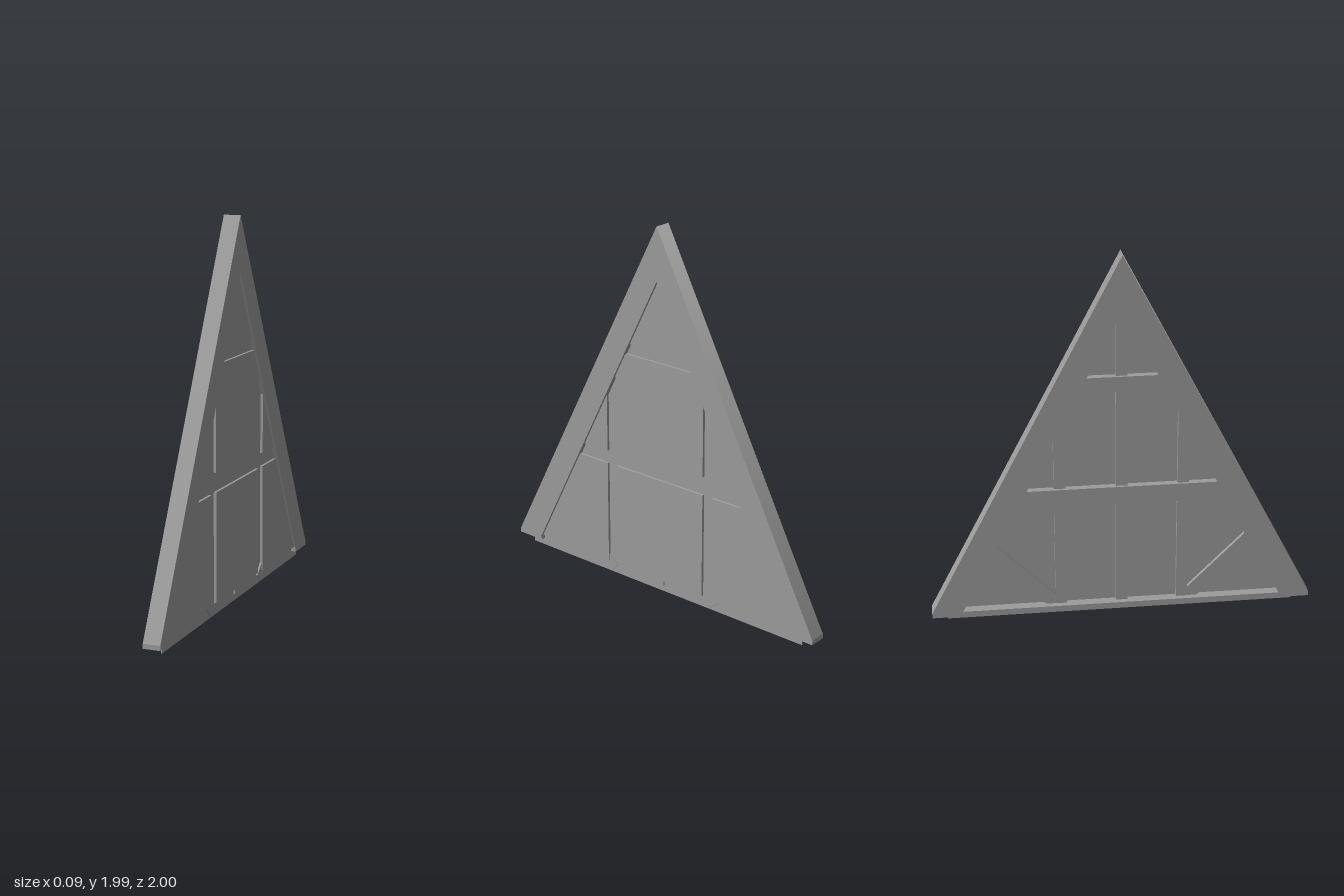
import * as THREE from 'three';

const RIDGE = 1.99, APEX = 1.71, BASE = 0.07, FOOT = 0.045, SLOPE = 0.84 / (APEX - BASE);
// half width of the opening at height y, and height of the opening at offset z
const halfWidth = (y) => (APEX - y) * SLOPE;
const heightAt = (z) => APEX - Math.abs(z) / SLOPE;

export function createModel() {
  const group = new THREE.Group();
  const material = new THREE.MeshStandardMaterial({ color: 0x9c9c9c });

  // flat part: outline in (z, y), extruded across x from x0 to x1
  function slab(name, points, x0, x1) {
    const shape = new THREE.Shape(points.map(([z, y]) => new THREE.Vector2(-z, y)));
    const geometry = new THREE.ExtrudeGeometry(shape, { depth: x1 - x0, bevelEnabled: false });
    geometry.rotateY(Math.PI / 2);
    geometry.translate(x0, 0, 0);
    const mesh = new THREE.Mesh(geometry, material);
    mesh.name = name;
    group.add(mesh);
    return mesh;
  }
  const mirrored = (name, points, x0, x1) => {
    for (const s of [1, -1]) slab(name, points.map(([z, y]) => [s * z, y]), x0, x1);
  };

  // two rafters meeting at the ridge
  const rafters = slab('rafters', [
    [0, RIDGE], [1, BASE], [1, FOOT], [0.84, FOOT], [0.84, BASE], [0, APEX],
    [-0.84, BASE], [-0.84, FOOT], [-1, FOOT], [-1, BASE],
  ], -0.045, 0.045);

  // the outer faces shade smoothly over the ridge
  const { position, normal } = rafters.geometry.attributes;
  for (let i = 0; i < position.count; i++) {
    if (position.getY(i) > RIDGE - 0.001 && Math.abs(normal.getX(i)) < 0.5) normal.setXYZ(i, 0, 1, 0);
  }

  // thin backing sheet, hanging below the sill
  slab('backingSheet', [
    [-0.92, 0.005], [0.92, 0.005], [0.92, BASE], [0, APEX + 0.1], [-0.92, BASE],
  ], 0.013, 0.018);

  // cladding panels, separated by open joints
  const P0 = 0.018, P1 = 0.032;
  slab('lowerMiddlePanel', [[-0.29, BASE], [0.29, BASE], [0.29, 0.64], [-0.29, 0.64]], P0, P1);
  slab('upperMiddlePanel', [
    [-0.29, 0.74], [0.29, 0.74], [0.29, heightAt(0.29)], [halfWidth(1.28), 1.28],
    [-halfWidth(1.28), 1.28], [-0.29, heightAt(0.29)],
  ], P0, P1);
  slab('topPanel', [[-halfWidth(1.34), 1.34], [halfWidth(1.34), 1.34], [0, APEX]], P0, P1);
  mirrored('lowerSidePanel', [
    [0.35, BASE], [0.84, BASE], [halfWidth(0.64), 0.64], [0.35, 0.64],
  ], P0, P1);
  mirrored('upperSidePanel', [
    [0.35, 0.71], [halfWidth(0.71), 0.71], [0.35, heightAt(0.35)],
  ], P0, P1);

  // sill between the rafter feet
  slab('sill', [[-0.84, FOOT], [0.84, FOOT], [0.84, BASE], [-0.84, BASE]], -0.04, 0.015);

  // upright studs, the middle one showing its foot under the panels
  slab('middleStud', [
    [-0.03, FOOT], [0.03, FOOT], [0.03, heightAt(0.03)], [0, APEX], [-0.03, heightAt(0.03)],
  ], -0.01, 0.015);
  slab('middleStudFoot', [[-0.03, 0.042], [0.03, 0.042], [0.03, BASE], [-0.03, BASE]], P0, 0.028);
  mirrored('sideStud', [
    [0.29, FOOT], [0.35, FOOT], [0.35, heightAt(0.35)], [0.29, heightAt(0.29)],
  ], -0.01, 0.015);

  // cross beams
  for (const [y0, y1] of [[0.64, 0.74], [1.27, 1.35]]) {
    const a = halfWidth(y0), b = halfWidth(y1);
    slab('crossBeam', [[-a, y0], [a, y0], [b, y1], [-b, y1]], -0.025, 0.015);
  }

  // corner braces rising at 45 degrees, with their ends showing in the joints
  mirrored('cornerBrace', [
    [0.375, FOOT], [0.7, 0.372], [0.65, 0.422], [0.29, 0.062], [0.305, FOOT],
  ], -0.008, 0.015);
  mirrored('cornerBraceEnd', [
    [0.34, 0.012], [0.4, 0.068], [0.35, 0.11], [0.29, 0.055],
  ], P0, 0.028);

  return group;
}
